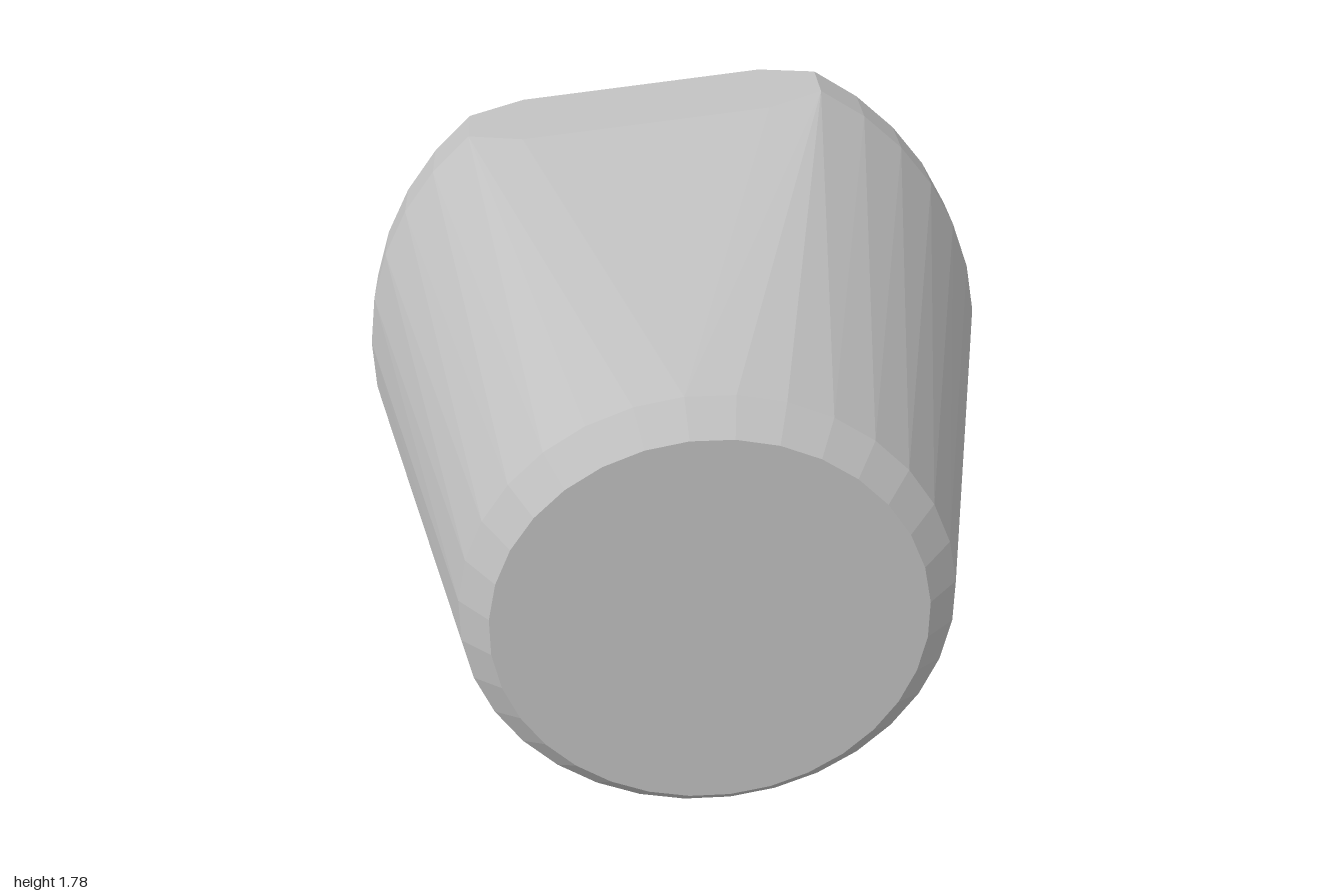
import * as THREE from 'three';
import { ConvexGeometry } from 'three/addons/geometries/ConvexGeometry.js';

const CENTRE_Y = 0.889;
const TILT = THREE.MathUtils.degToRad(6.25); // roll of the two flats
const FLAT = 0.834;                          // distance of each flat from the axis

// Full circle of points at depth z
function ring(r, z, n = 32) {
  return Array.from({ length: n }, (_, i) => {
    const a = ((i + 0.5) / n) * Math.PI * 2;
    return new THREE.Vector3(r * Math.cos(a), CENTRE_Y + r * Math.sin(a), z);
  });
}

// Circle cut by two parallel flats: two arcs of n segments each
function flattenedRing(r, z, n = 12) {
  const half = Math.asin(FLAT / r);
  const pts = [];
  for (const start of [0, Math.PI]) {
    for (let i = 0; i <= n; i++) {
      const a = TILT + start - half + (2 * half * i) / n;
      pts.push(new THREE.Vector3(r * Math.cos(a), CENTRE_Y + r * Math.sin(a), z));
    }
  }
  return pts;
}

export function createModel() {
  const group = new THREE.Group();
  group.name = 'taperedPlug';

  const grey = new THREE.MeshStandardMaterial({ color: 0xc0c0c0 });
  grey.name = 'light grey';

  // Chamfered flat-sided disc at the back, tapering to a small chamfered round face
  const body = new THREE.Mesh(new ConvexGeometry([
    ...flattenedRing(0.917, -0.9),
    ...flattenedRing(1, -0.82),
    ...flattenedRing(1, -0.65),
    ...flattenedRing(0.917, -0.57),
    ...ring(0.666, 0.82),
    ...ring(0.584, 0.9),
  ]), grey);
  body.name = 'taperedBody';
  group.add(body);

  return group;
}
